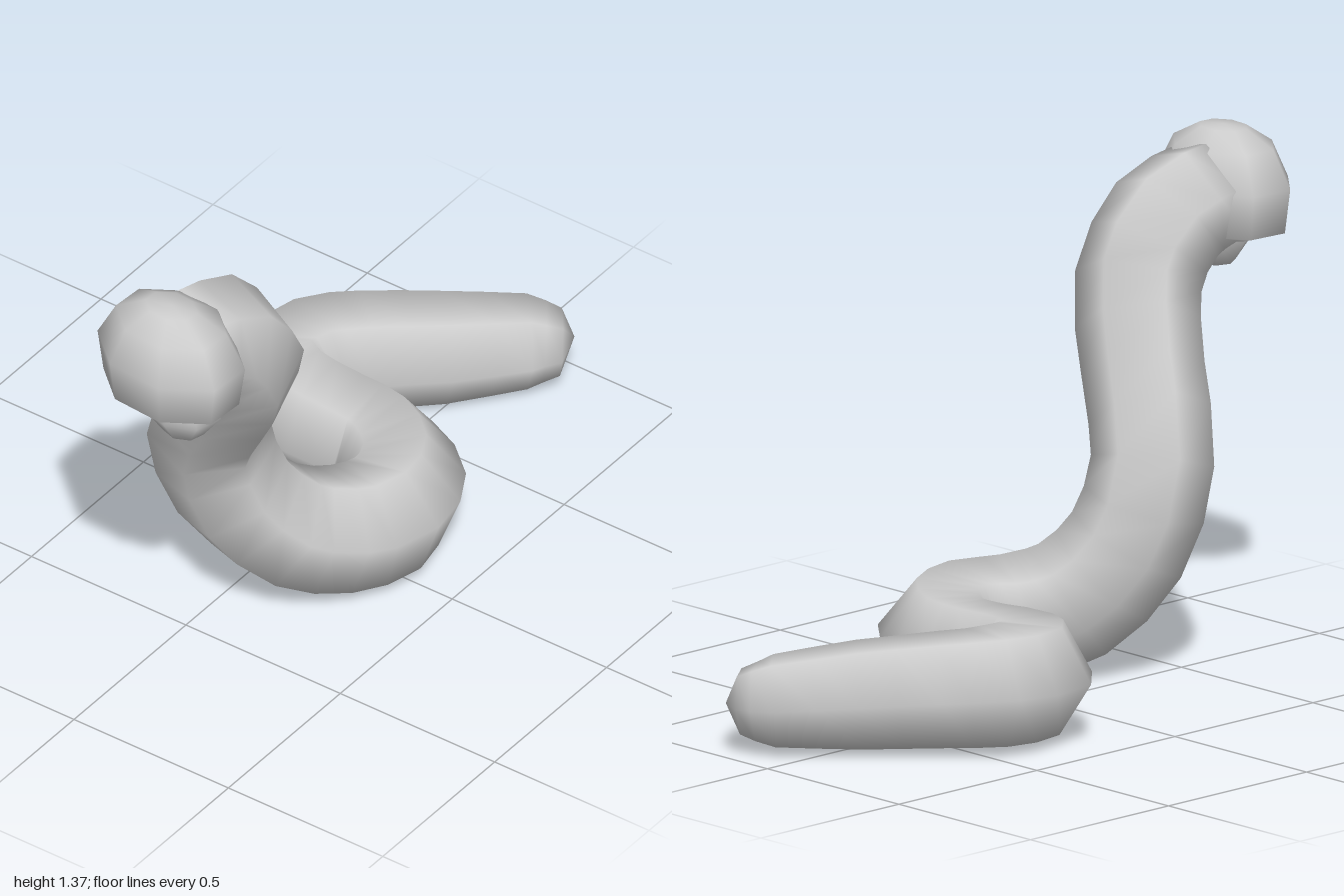
import * as THREE from 'three';
import { mergeVertices } from 'three/addons/utils/BufferGeometryUtils.js';

const material = new THREE.MeshStandardMaterial({ color: 0xcccccc, side: THREE.DoubleSide });

// Centre line from tail to head: x, y, z, radius
const SPINE = [
  [0.92, 0.13, 0.185, 0.09], [0.865, 0.135, 0.115, 0.127], [0.7, 0.15, -0.035, 0.15],
  [0.55, 0.165, -0.185, 0.16], [0.435, 0.17, -0.272, 0.167], [0.31, 0.17, -0.276, 0.168],
  [0.255, 0.17, -0.19, 0.164], [0.25, 0.165, -0.02, 0.158], [0.243, 0.16, 0.1, 0.162],
  [0.16, 0.16, 0.225, 0.167], [0.03, 0.16, 0.27, 0.171], [-0.1, 0.163, 0.215, 0.171],
  [-0.22, 0.21, 0.122, 0.17], [-0.325, 0.357, 0.025, 0.167], [-0.388, 0.58, -0.008, 0.163],
  [-0.46, 0.8, 0.105, 0.163], [-0.54, 1.0, 0.205, 0.169], [-0.65, 1.145, 0.212, 0.167],
  [-0.8, 1.2, 0.2, 0.155],
];

// Six-sided tube with a radius per ring, turning slightly towards the head
function bodyGeometry(sides = 6, perSpan = 2) {
  const curve = new THREE.CatmullRomCurve3(SPINE.map((p) => new THREE.Vector3(p[0], p[1], p[2])));
  const spans = SPINE.length - 1;
  const rings = spans * perSpan;
  const pos = [], index = [];
  const side = new THREE.Vector3();
  for (let i = 0; i <= rings; i++) {
    const t = i / rings;
    const k = Math.min(Math.floor(t * spans), spans - 1);
    const r = THREE.MathUtils.lerp(SPINE[k][3], SPINE[k + 1][3], t * spans - k);
    const roll = -0.58 * Math.max(0, t - 0.2);
    const c = curve.getPoint(t), dir = curve.getTangent(t);
    if (i === 0) side.crossVectors(dir, new THREE.Vector3(0, 1, 0));
    side.addScaledVector(dir, -side.dot(dir)).normalize();
    const up = new THREE.Vector3().crossVectors(side, dir);
    for (let j = 0; j < sides; j++) {
      const a = (j / sides) * Math.PI * 2 + roll;
      const v = c.clone().addScaledVector(side, r * Math.cos(a)).addScaledVector(up, r * Math.sin(a));
      pos.push(v.x, v.y, v.z);
      if (i < rings) {
        const p = i * sides + j, q = i * sides + ((j + 1) % sides);
        index.push(p, q, p + sides, q, q + sides, p + sides);
      }
    }
  }
  // Tail tip and hidden neck end
  const tip = pos.length / 3;
  const ends = [[0.96, 0.13, 0.2], SPINE[spans]];
  ends.forEach((e) => pos.push(e[0], e[1], e[2]));
  for (let j = 0; j < sides; j++) {
    const n = (j + 1) % sides, last = rings * sides;
    index.push(tip, n, j, tip + 1, last + j, last + n);
  }
  const g = new THREE.BufferGeometry();
  g.setAttribute('position', new THREE.Float32BufferAttribute(pos, 3));
  g.setIndex(index);
  g.computeVertexNormals();
  return g;
}

// Smooth eight-sided turned form, widened per axis
function turned(name, profile, center, sx, sz, yaw) {
  let g = new THREE.LatheGeometry(profile.map(([r, y]) => new THREE.Vector2(r, y)), 8, Math.PI / 8);
  g.scale(sx, 1, sz);
  g.deleteAttribute('uv');
  g.deleteAttribute('normal');
  g = mergeVertices(g, 1e-4);
  g.computeVertexNormals();
  const mesh = new THREE.Mesh(g, material);
  mesh.name = name;
  mesh.position.set(...center);
  mesh.rotation.y = yaw;
  return mesh;
}

export function createModel() {
  const model = new THREE.Group();
  model.name = 'worm';

  const body = new THREE.Mesh(bodyGeometry(), material);
  body.name = 'body';
  model.add(body);

  // Head: domed skull with steep cheeks, and a small jaw set towards the front
  const head = new THREE.Group();
  head.name = 'head';
  head.add(
    turned('skull', [[0, -0.11], [0.6, -0.12], [0.92, -0.1], [1, 0.02], [0.75, 0.12], [0.35, 0.165], [0, 0.17]],
      [-0.848, 1.2, 0.205], 0.162, 0.218, -0.08),
    turned('lowerJaw', [[0, -0.075], [0.5, -0.075], [0.95, 0], [0.8, 0.05], [0, 0.06]],
      [-0.855, 1.065, 0.25], 0.11, 0.125, -0.3),
  );
  model.add(head);
  return model;
}
